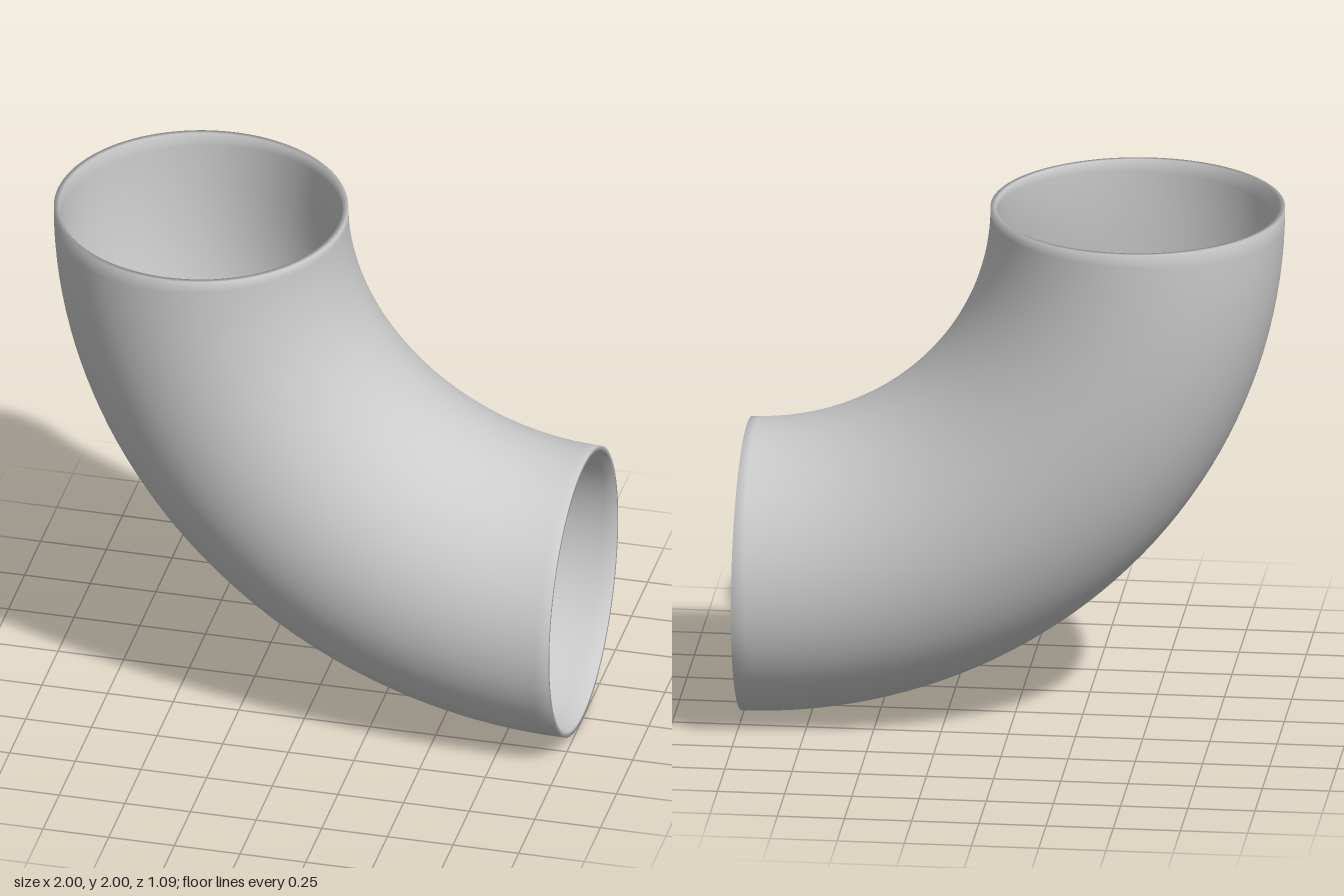
import * as THREE from 'three';
import { mergeGeometries, mergeVertices } from 'three/addons/utils/BufferGeometryUtils.js';

const BEND = 1.455;   // centreline radius of the bend
const OUTER = 0.545;  // outside pipe radius
const INNER = 0.525;  // bore radius
const SIDES = 96;
const STEPS = 45;

// Reverse the winding so the faces look the other way
function flip(geometry) {
  geometry.index.array.reverse();
  return geometry;
}

const wall = (radius) => new THREE.TorusGeometry(BEND, radius, SIDES, STEPS, Math.PI / 2);

const rim = () => new THREE.RingGeometry(INNER, OUTER, SIDES, 1)
  .rotateX(Math.PI / 2)
  .translate(BEND, 0, 0);

export function createModel() {
  // Outer wall, bore and the two end rims welded into one smooth shell
  const parts = [
    wall(OUTER),
    flip(wall(INNER)),
    rim(),
    flip(rim().rotateZ(Math.PI / 2)),
  ];
  for (const part of parts) {
    part.deleteAttribute('normal');
    part.deleteAttribute('uv');
  }
  const shell = mergeVertices(mergeGeometries(parts), 1e-4);
  shell.computeVertexNormals();

  // Turn the quarter bend so it opens upward and toward +x
  shell.rotateZ(Math.PI);
  shell.translate(1, 2, 0);

  const pipe = new THREE.Mesh(shell, new THREE.MeshStandardMaterial({ color: 0xcccccc }));
  pipe.name = 'elbowPipe';

  const group = new THREE.Group();
  group.name = 'pipeElbow';
  group.add(pipe);
  return group;
}
